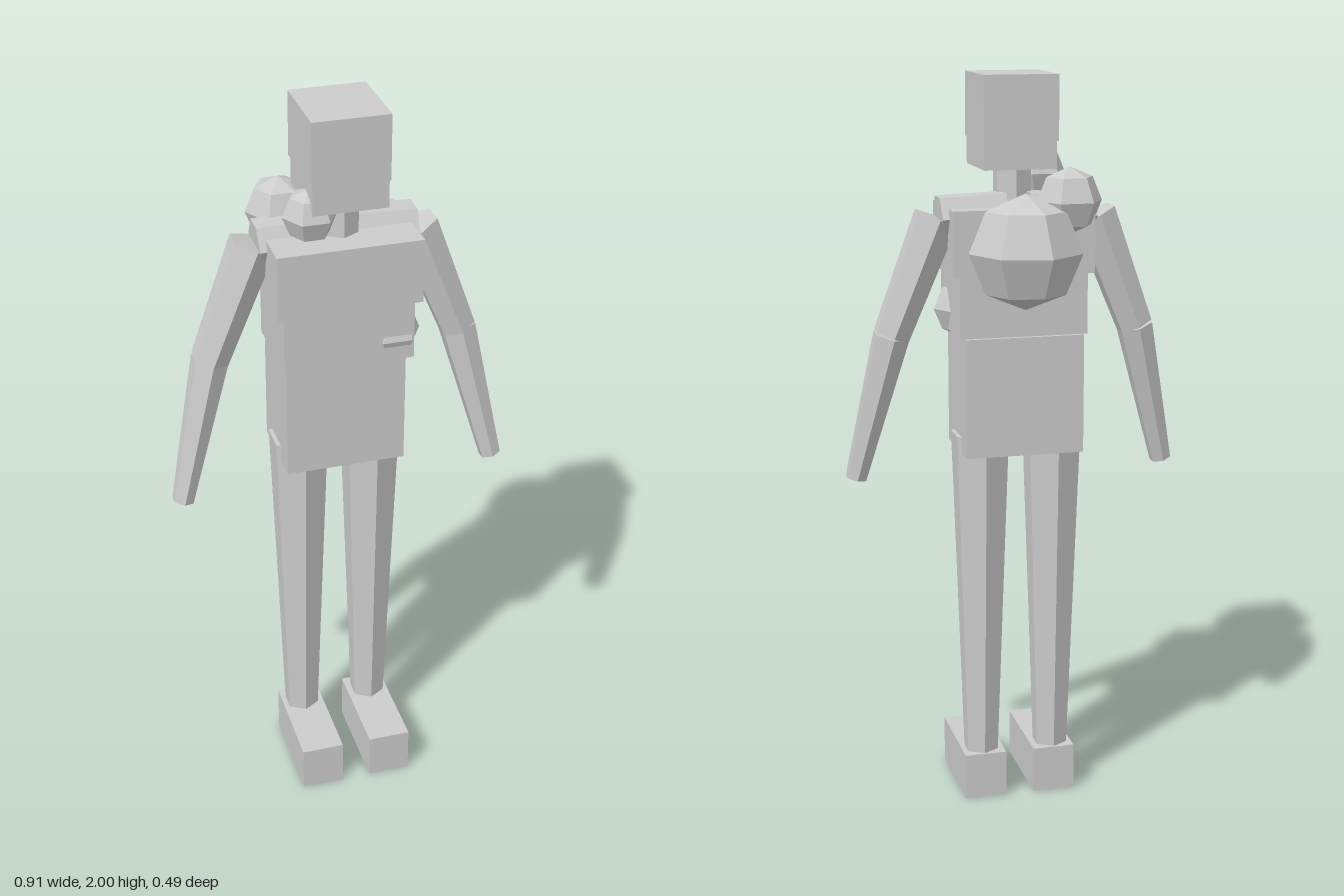
import * as THREE from 'three';

export function createModel() {
  const model = new THREE.Group();
  model.name = 'figure';
  const clay = new THREE.MeshStandardMaterial({ color: 0xcccccc });
  clay.name = 'plain grey';
  clay.flatShading = true;

  const add = (name, geometry) => {
    const mesh = new THREE.Mesh(geometry, clay);
    mesh.name = name;
    model.add(mesh);
    return mesh;
  };

  // Box given by its limits on each axis
  const box = (name, x0, x1, y0, y1, z0, z1) =>
    add(name, new THREE.BoxGeometry(x1 - x0, y1 - y0, z1 - z0))
      .position.set((x0 + x1) / 2, (y0 + y1) / 2, (z0 + z1) / 2);

  // Tapered six-sided limb from point a to point b
  const limb = (name, a, b, ra, rb) => {
    const from = new THREE.Vector3(...a), to = new THREE.Vector3(...b);
    const along = from.clone().sub(to);
    const mesh = add(name, new THREE.CylinderGeometry(ra, rb, along.length(), 6));
    mesh.position.copy(from).add(to).multiplyScalar(0.5);
    mesh.quaternion.setFromUnitVectors(new THREE.Vector3(0, 1, 0), along.normalize());
  };

  // Faceted lump with a corner towards the given side
  const lump = (name, x, y, z, r, sides, turn = 0) => {
    const mesh = add(name, new THREE.SphereGeometry(r, sides, 4));
    mesh.position.set(x, y, z);
    mesh.rotation.y = turn;
  };

  // Head and neck
  box('headUpper', -0.1, 0.1, 1.83, 2.0, -0.054, 0.163);
  box('headLower', -0.097, 0.097, 1.757, 1.9, -0.046, 0.16);
  limb('neck', [0, 1.8, 0.05], [0, 1.6, 0.05], 0.052, 0.052);

  // Torso
  box('upperChest', -0.19, 0.19, 1.487, 1.66, -0.09, 0.166);
  box('lowerChest', -0.172, 0.172, 1.325, 1.487, -0.085, 0.155);
  box('abdomen', -0.16, 0.16, 1.005, 1.325, -0.097, 0.127);

  // Shoulders, arms, legs and feet
  for (const [side, s] of [['left', 1], ['right', -1]]) {
    limb(side + 'Collar', [0.03 * s, 1.64, 0.013], [0.208 * s, 1.633, 0.013], 0.062, 0.062);
    limb(side + 'UpperArm', [0.214 * s, 1.633, 0.013], [0.336 * s, 1.323, 0.021], 0.062, 0.051);
    limb(side + 'Forearm', [0.336 * s, 1.323, 0.021], [0.432 * s, 0.93, 0.062], 0.051, 0.03);
    limb(side + 'Thigh', [0.1 * s, 1.05, 0.01], [0.1 * s, 0.55, 0.012], 0.082, 0.064);
    limb(side + 'Shin', [0.1 * s, 0.55, 0.012], [0.1 * s, 0.12, 0.014], 0.064, 0.049);
    const inner = 0.04 * s, outer = 0.157 * s;
    box(side + 'Foot', Math.min(inner, outer), Math.max(inner, outer), 0, 0.13, -0.04, 0.243);
  }

  // Lumps on the back, shoulder, neck and chest
  lump('backLump', 0, 1.55, -0.097, 0.152, 7, Math.PI);
  lump('shoulderLump', -0.122, 1.678, -0.078, 0.088, 6);
  lump('neckLump', -0.088, 1.735, 0.1, 0.071, 6);
  lump('chestLump', 0.128, 1.377, 0.093, 0.078, 6);

  return model;
}
